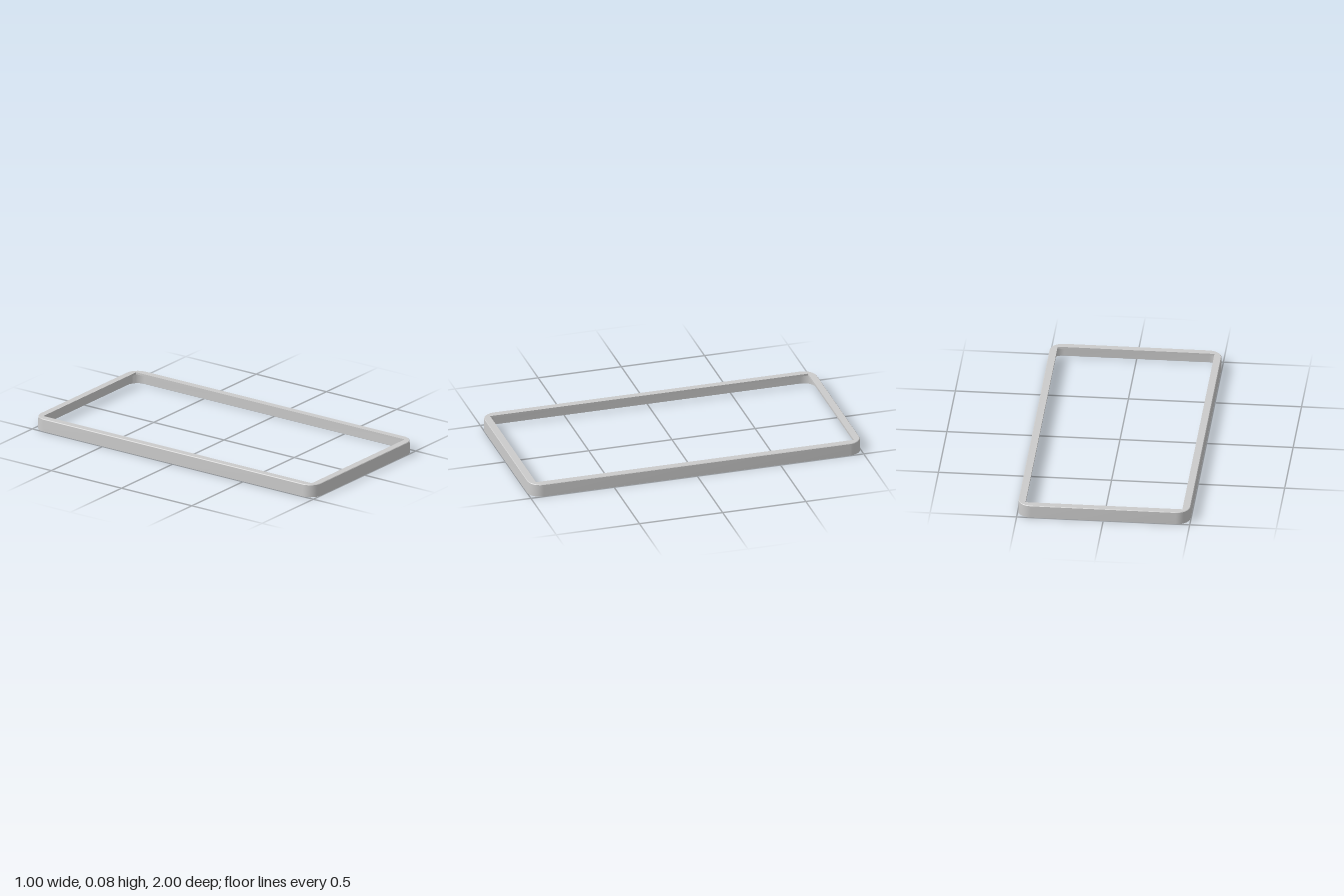
import * as THREE from 'three';
import { toCreasedNormals } from 'three/addons/utils/BufferGeometryUtils.js';

const HALF_W = 0.498, HALF_L = 1, HEIGHT = 0.075, RADIUS = 0.08;
const CORNER_STEPS = 10;

// Rounded rectangle at height y, inset from the outer outline
function ring(inset, y, radius) {
  const points = [];
  const cx = HALF_W - inset - radius, cz = HALF_L - inset - radius;
  [[1, 1], [-1, 1], [-1, -1], [1, -1]].forEach(([sx, sz], corner) => {
    for (let i = 0; i <= CORNER_STEPS; i++) {
      const a = (corner + i / CORNER_STEPS) * Math.PI / 2;
      points.push(new THREE.Vector3(sx * cx + radius * Math.cos(a), y, sz * cz + radius * Math.sin(a)));
    }
  });
  return points;
}

// Skin a closed series of rings, skipping collapsed triangles at sharp corners
function skin(rings) {
  const positions = [];
  const add = (a, b, c) => {
    if (new THREE.Triangle(a, b, c).getArea() < 1e-9) return;
    for (const p of [a, b, c]) positions.push(p.x, p.y, p.z);
  };
  rings.forEach((lower, i) => {
    const upper = rings[(i + 1) % rings.length];
    lower.forEach((p, j) => {
      const k = (j + 1) % lower.length;
      add(p, upper[j], lower[k]);
      add(lower[k], upper[j], upper[k]);
    });
  });
  const geometry = new THREE.BufferGeometry();
  geometry.setAttribute('position', new THREE.Float32BufferAttribute(positions, 3));
  return toCreasedNormals(geometry, Math.PI / 6);
}

export function createModel() {
  const group = new THREE.Group();
  group.name = 'bezel';

  // Thin outer wall with an inward lip along the top, hollow below
  const wall = 0.008, lipWidth = 0.045, lipThickness = 0.012;
  const frame = new THREE.Mesh(
    skin([
      ring(0, 0, RADIUS),
      ring(0.002, HEIGHT - 0.003, RADIUS - 0.002),
      ring(0.005, HEIGHT, RADIUS - 0.005),
      ring(lipWidth, HEIGHT, 0),
      ring(lipWidth, HEIGHT - lipThickness, 0),
      ring(wall, HEIGHT - lipThickness, RADIUS - wall),
      ring(wall, 0, RADIUS - wall),
    ]),
    new THREE.MeshStandardMaterial({ color: 0xcccccc })
  );
  frame.name = 'lippedFrame';
  group.add(frame);
  return group;
}
